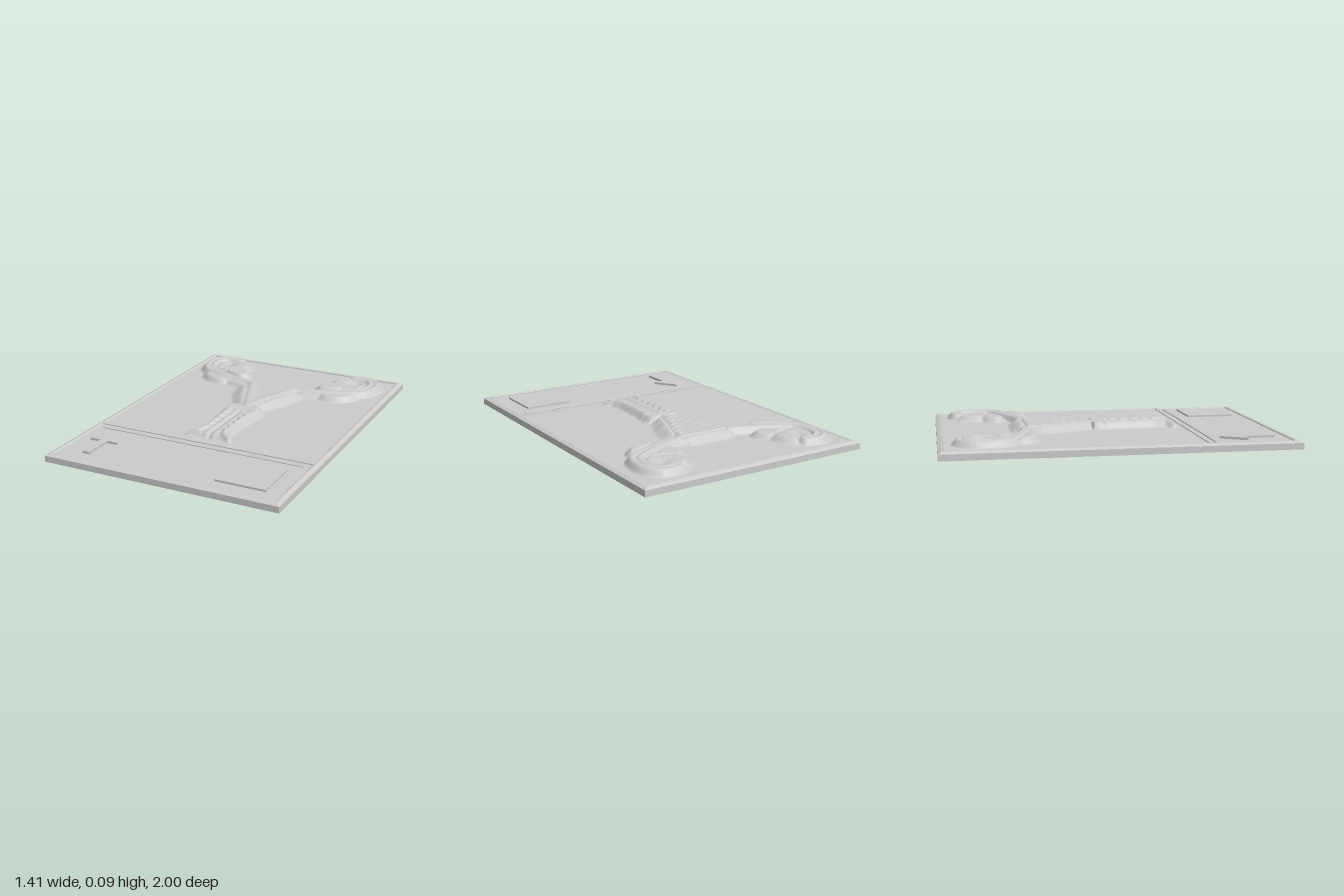
import * as THREE from 'three';

const FIELD = 0.041, RIM = 0.046;
const mat = new THREE.MeshStandardMaterial({ color: 0xcccccc });
const { smoothstep, clamp, lerp } = THREE.MathUtils;
const gauss = (d, s) => Math.exp(-(d * d) / (s * s));
const smax = (a, b, k = 0.008) => {
  const t = clamp(0.5 + (a - b) / (2 * k), 0, 1);
  return lerp(b, a, t) + k * t * (1 - t);
};

// Piecewise linear profile through [position, value] pairs
function profile(points, p) {
  for (let i = 1; i < points.length; i++) {
    const [p0, v0] = points[i - 1], [p1, v1] = points[i];
    if (p <= p1) return lerp(v0, v1, smoothstep(p, p0, p1) * 0.5 + clamp((p - p0) / (p1 - p0), 0, 1) * 0.5);
  }
  return points[points.length - 1][1];
}

// Distance to a smooth curve sampled in plan
function sampled(points) {
  return new THREE.CatmullRomCurve3(points.map(([x, z]) => new THREE.Vector3(x, 0, z))).getPoints(28);
}
function curveDistance(pts, x, z) {
  let best = 9;
  for (let i = 1; i < pts.length; i++) {
    const a = pts[i - 1], dx = pts[i].x - a.x, dz = pts[i].z - a.z;
    const t = clamp(((x - a.x) * dx + (z - a.z) * dz) / (dx * dx + dz * dz), 0, 1);
    best = Math.min(best, Math.hypot(x - a.x - dx * t, z - a.z - dz * t));
  }
  return best;
}

// Rounded mound with an elliptical, turned footprint
function mound(x, z, cx, cz, rx, rz, turn, h, soft = 0.45) {
  const c = Math.cos(turn), s = Math.sin(turn), u = x - cx, v = z - cz;
  const r = Math.hypot((u * c + v * s) / rx, (v * c - u * s) / rz);
  return h * smoothstep(1 - r, 0, soft);
}

const BODY = [[-0.62, 0.07], [-0.59, 0.15], [-0.55, 0.2], [-0.5, 0.26], [-0.4, 0.255], [-0.28, 0.225],
  [-0.16, 0.165], [-0.09, 0.13], [-0.05, 0.14], [0, 0.14], [0.05, 0.13], [0.3, 0.115], [0.36, 0.13], [0.4, 0.16], [0.44, 0.15]];
const tube = sampled([[0.17, -0.49], [0.27, -0.51], [0.38, -0.555], [0.47, -0.595], [0.54, -0.64],
  [0.57, -0.72], [0.565, -0.81], [0.51, -0.865], [0.42, -0.865]]);
const ligament = sampled([[0.2, -0.45], [0.3, -0.48], [0.4, -0.52]]);

// Height of the organ relief above the field; both halves mirror
function relief(px, z) {
  const x = Math.abs(px);
  // Central body with sloping sides
  const inset = Math.min(profile(BODY, z) - x, z + 0.615, 0.435 - z);
  let body = 0.045 * smoothstep(inset, 0, z > -0.08 ? 0.055 : 0.12);
  const upper = 1 - smoothstep(z, -0.09, -0.04);
  const lower = smoothstep(z, -0.02, 0.03);
  // Top dome falls away behind the arched groove
  const arch = -0.485 - 0.5 * x * x;
  body -= 0.013 * gauss(z - arch, 0.012) * (1 - smoothstep(x, 0.2, 0.28));
  body -= 0.010 * (1 - smoothstep(z, -0.6, -0.5));
  // Triangular cavity with ribbed lining
  const edge = 0.16 * clamp((-0.04 - z) / 0.42, 0, 1);
  const inCavity = upper * smoothstep(z, -0.48, -0.44);
  body -= 0.006 * inCavity * (1 - smoothstep(x, edge - 0.07, edge - 0.02));
  body -= 0.007 * inCavity * gauss(x - edge - 0.01 - 0.005 * Math.sin(z * 130), 0.012);
  body += 0.003 * inCavity * gauss(x - edge + 0.03, 0.022) * Math.sin(z * 130 + x * 60);
  // Neck opening
  body -= 0.012 * gauss(z + 0.015, 0.014) * gauss(x, 0.09);
  // Lower canal with scalloped walls and a centre seam
  const wall = 0.05 + 0.008 * Math.sin(z * 95) + 0.06 * smoothstep(z, 0.34, 0.44);
  body -= 0.014 * lower * (1 - smoothstep(x, wall - 0.01, wall + 0.014));
  body += 0.005 * lower * gauss(x - 0.025, 0.014);
  body -= 0.005 * lower * gauss(x, 0.008);
  body -= 0.006 * gauss(z - 0.35, 0.02) * gauss(x - 0.11, 0.03);

  // Ovary, inner fold and funnel end of the tube
  let side = mound(x, z, 0.42, -0.525, 0.15, 0.1, -0.45, 0.04);
  side = smax(side, mound(x, z, 0.34, -0.655, 0.13, 0.085, -0.5, 0.038));
  side = smax(side, mound(x, z, 0.445, -0.755, 0.18, 0.16, -0.35, 0.041, 0.4));
  side -= 0.024 * gauss(Math.hypot((x - 0.465) / 0.06, (z + 0.77) / 0.07), 0.9);
  side += 0.008 * gauss(Math.hypot((x - 0.49) / 0.02, (z + 0.75) / 0.045), 1);
  side -= 0.009 * gauss(z + 0.675 - 0.3 * (x - 0.44), 0.018) * smoothstep(x, 0.3, 0.36) * (1 - smoothstep(x, 0.5, 0.54));
  // Tube with a groove along each side and a fine lumen
  const d = curveDistance(tube, x, z);
  side -= 0.009 * gauss(d - 0.042, 0.012) * smoothstep(side, 0.01, 0.03);
  const wide = 0.055 + 0.015 * smoothstep(x, 0.3, 0.55);
  side = smax(side, 0.043 * smoothstep(wide - d, 0, 0.045) - 0.006 * gauss(d, 0.01) * smoothstep(x, 0.22, 0.3));
  side = smax(side, 0.032 * smoothstep(0.05 - curveDistance(ligament, x, z), 0, 0.04));
  return smax(body, side, 0.006);
}

function addMesh(parent, name, geometry) {
  const mesh = new THREE.Mesh(geometry, mat);
  mesh.name = name;
  parent.add(mesh);
  return mesh;
}

// Flat shape in plan (x, z) raised between two heights
function raised(parent, name, corners, y0, y1, holes = []) {
  const toShape = (pts, Type) => new Type(pts.map(([x, z]) => new THREE.Vector2(x, -z)));
  const shape = toShape(corners, THREE.Shape);
  shape.holes = holes.map((h) => toShape(h, THREE.Path));
  const geo = new THREE.ExtrudeGeometry(shape, { depth: y1 - y0, bevelEnabled: false });
  geo.rotateX(-Math.PI / 2).translate(0, y0, 0);
  return addMesh(parent, name, geo);
}
const rect = (x0, z0, x1, z1) => [[x0, z0], [x1, z0], [x1, z1], [x0, z1]];

// Low rounded bead along x
function bead(parent, name, halfLength, z) {
  const geo = new THREE.CapsuleGeometry(0.009, halfLength * 2, 4, 10);
  geo.rotateZ(Math.PI / 2).scale(1, 0.6, 1).translate(0, FIELD + 0.002, z);
  addMesh(parent, name, geo);
}

function createModel() {
  const model = new THREE.Group();
  model.name = 'reliefPlaque';

  // Plate and its chamfered rim
  addMesh(model, 'basePlate', new THREE.BoxGeometry(1.41, 0.036, 2).translate(0, 0.018, 0));
  raised(model, 'field', rect(-0.68, -0.975, 0.68, 0.975), 0.03, FIELD);
  const loops = [[0.705, 1, 0.036], [0.685, 0.98, RIM], [0.675, 0.97, RIM], [0.668, 0.963, FIELD]];
  const corners = loops.map(([x, z, y]) => [[-x, y, z], [x, y, z], [x, y, -z], [-x, y, -z]]);
  const rim = [];
  for (let i = 0; i < 3; i++) for (let j = 0; j < 4; j++) {
    const k = (j + 1) % 4;
    const a = corners[i][j], b = corners[i][k], c = corners[i + 1][k], d = corners[i + 1][j];
    rim.push(...a, ...b, ...c, ...a, ...c, ...d);
  }
  const rimGeo = new THREE.BufferGeometry();
  rimGeo.setAttribute('position', new THREE.Float32BufferAttribute(rim, 3));
  rimGeo.computeVertexNormals();
  addMesh(model, 'rim', rimGeo);

  // Divider and beads of the lower panel
  raised(model, 'divider', rect(-0.67, 0.468, 0.67, 0.478), 0.036, RIM);
  bead(model, 'panelTopBead', 0.63, 0.52);
  bead(model, 'panelBottomBead', 0.66, 0.962);
  bead(model, 'topBead', 0.66, -0.965);

  // Raised arrow and square
  raised(model, 'arrow', [[-0.51, 0.57], [-0.42, 0.71], [-0.487, 0.71], [-0.487, 0.887],
    [-0.533, 0.887], [-0.533, 0.71], [-0.6, 0.71]], 0.036, 0.055);
  raised(model, 'squarePad', rect(0.285, 0.597, 0.578, 0.887), 0.036, 0.052);

  // Organ relief: a grid lifted by the height rule, keeping only what rises above the field
  const geo = new THREE.PlaneGeometry(1.32, 1.4, 220, 234);
  geo.rotateX(-Math.PI / 2).translate(0, 0, -0.24);
  const pos = geo.attributes.position;
  for (let i = 0; i < pos.count; i++) pos.setY(i, FIELD - 0.001 + relief(pos.getX(i), pos.getZ(i)));
  geo.computeVertexNormals();
  const kept = [], index = geo.index.array;
  for (let i = 0; i < index.length; i += 3) {
    const tri = [index[i], index[i + 1], index[i + 2]];
    if (tri.some((v) => pos.getY(v) > FIELD)) kept.push(...tri);
  }
  geo.setIndex(kept);
  addMesh(model, 'organRelief', geo);

  return model;
}

export { createModel };
